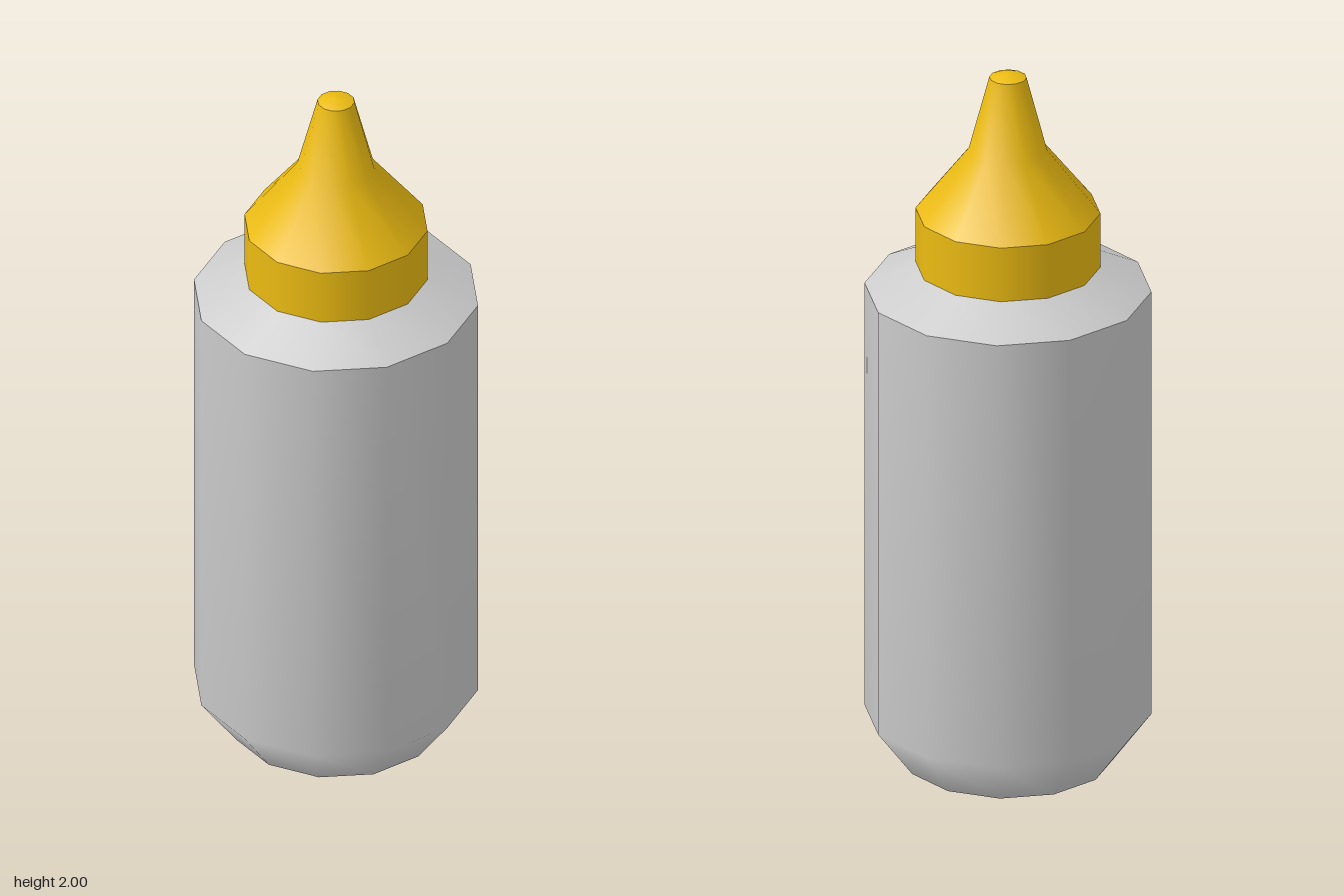
import * as THREE from 'three';

const SIDES = 12;

// Each profile is a list of [radius, height] points, bottom to top.
// Normals are smooth within a profile and sharp between profiles.
function addTurned(group, name, material, profile) {
  const points = profile.map(([r, y]) => new THREE.Vector2(r, y));
  const mesh = new THREE.Mesh(new THREE.LatheGeometry(points, SIDES), material);
  mesh.name = name;
  group.add(mesh);
}

export function createModel() {
  const model = new THREE.Group();
  model.name = 'squeezeBottle';

  const grey = new THREE.MeshStandardMaterial({ color: 0xcccccc });
  const yellow = new THREE.MeshStandardMaterial({ color: 0xebbb12 });

  // Bottle: flat base, tapered foot running into the wall, sloped shoulder
  const bottle = new THREE.Group();
  bottle.name = 'bottle';
  addTurned(bottle, 'base', grey, [[0, 0], [0.284, 0]]);
  addTurned(bottle, 'wall', grey, [[0.284, 0], [0.385, 0.135], [0.385, 1.372]]);
  addTurned(bottle, 'shoulder', grey, [[0.385, 1.372], [0.248, 1.44]]);

  // Cap: straight collar, cone running into the nozzle, slightly domed tip
  const cap = new THREE.Group();
  cap.name = 'cap';
  addTurned(cap, 'collar', yellow, [[0.248, 1.44], [0.248, 1.597]]);
  addTurned(cap, 'nozzle', yellow, [[0.248, 1.597], [0.105, 1.778], [0.05, 1.988]]);
  addTurned(cap, 'tip', yellow, [[0.05, 1.988], [0.025, 1.998], [0, 2]]);

  model.add(bottle, cap);
  return model;
}
